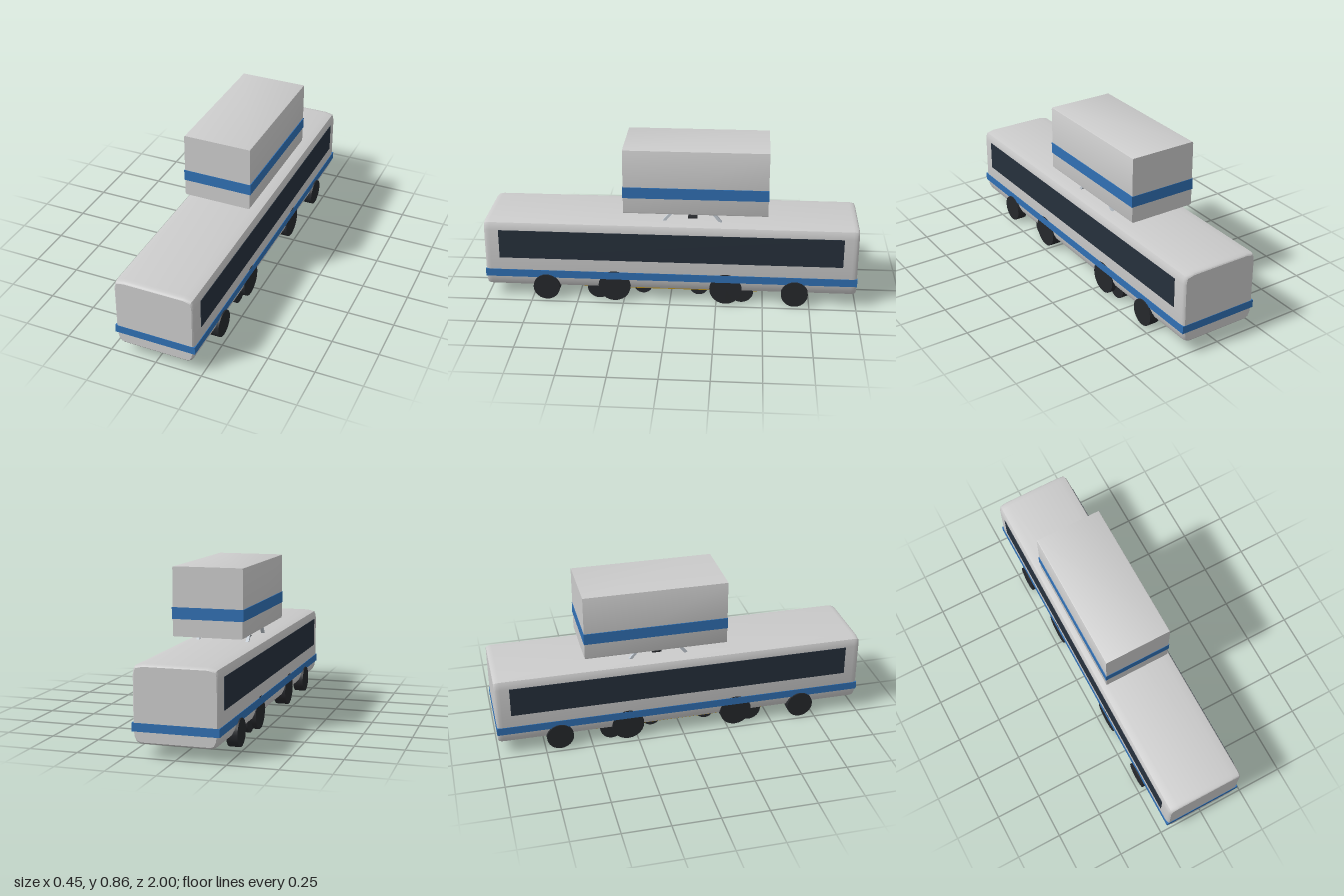
import * as THREE from 'three';
import { toCreasedNormals } from 'three/addons/utils/BufferGeometryUtils.js';

const paint = (color) => new THREE.MeshStandardMaterial({ color });
const grey = paint(0xcccccc);
const blue = paint(0x3070b4);
const glass = paint(0x26303c);
const rubber = paint(0x26282c);
const yellow = paint(0xb8901f);
const steel = paint(0xc4ccd4);

export function createModel() {
  const model = new THREE.Group();

  function add(name, geometry, material, x = 0, y = 0, z = 0) {
    const mesh = new THREE.Mesh(geometry, material);
    mesh.name = name;
    mesh.position.set(x, y, z);
    model.add(mesh);
    return mesh;
  }

  // box given by its limits on each axis
  function box(name, material, [x0, x1], [y0, y1], [z0, z1]) {
    return add(name, new THREE.BoxGeometry(x1 - x0, y1 - y0, z1 - z0), material,
      (x0 + x1) / 2, (y0 + y1) / 2, (z0 + z1) / 2);
  }

  // mirrored cross-section run along z, with eased ends
  function hull(name, half, z0, z1, bevelSize, bevelThickness) {
    const points = [...half, ...half.map(([x, y]) => [-x, y]).reverse()];
    const shape = new THREE.Shape(points.map(([x, y]) => new THREE.Vector2(x, y)));
    const geometry = new THREE.ExtrudeGeometry(shape, {
      depth: z1 - z0 - 2 * bevelThickness,
      bevelEnabled: bevelSize > 0, bevelSize, bevelThickness,
      bevelOffset: -bevelSize, bevelSegments: 3,
    });
    geometry.translate(0, 0, z0 + bevelThickness);
    return add(name, toCreasedNormals(geometry, 0.6), grey);
  }

  // long coach body
  hull('body', [
    [0.175, 0.066], [0.197, 0.076], [0.209, 0.1], [0.215, 0.135],
    [0.215, 0.4], [0.211, 0.425], [0.204, 0.441], [0.16, 0.451],
  ], -0.998, 0.998, 0.011, 0.03);
  box('bodyStripe', blue, [-0.218, 0.218], [0.128, 0.17], [-1, 1]);
  for (const side of [-1, 1]) {
    const window = box('sideWindow', glass, [-0.003, 0.003], [0.24, 0.4], [-0.92, 0.92]);
    window.position.x = side * 0.215;
  }

  // raised cabin above the roof
  hull('upperCabin', [
    [0.177, 0.505], [0.182, 0.507], [0.184, 0.513],
    [0.184, 0.852], [0.182, 0.858], [0.177, 0.86],
  ], -0.516, 0.25, 0, 0);
  box('cabinStripe', blue, [-0.188, 0.188], [0.594, 0.654], [-0.518, 0.252]);

  // roof plate and leaning struts
  box('roofPlate', rubber, [-0.105, 0.105], [0.446, 0.458], [-0.14, -0.09]);
  for (const x of [-0.135, 0.135]) {
    for (const side of [-1, 1]) {
      const strut = add('strut', new THREE.BoxGeometry(0.016, 0.065, 0.014), steel,
        x, 0.469, -0.115 + side * 0.135);
      strut.rotation.x = -side * 0.69;
    }
  }

  // underside plates
  box('underFrame', yellow, [-0.175, 0.175], [0.06, 0.072], [-0.47, 0.47]);
  box('underPlate', grey, [-0.105, 0.105], [0.052, 0.062], [-0.2, 0.2]);

  // wheels: distance along z, radius, inner and outer x
  const wheels = [
    ['outerWheel', 0.67, 0.072, 0.168, 0.225],
    ['mainWheel', 0.3, 0.087, 0.15, 0.2165],
    ['innerWheel', 0.385, 0.065, 0.14, 0.19],
    ['smallWheel', 0.153, 0.051, 0.078, 0.117],
  ];
  for (const [name, z, radius, inner, outer] of wheels) {
    const geometry = new THREE.CylinderGeometry(radius, radius, outer - inner, 24);
    geometry.rotateZ(Math.PI / 2);
    for (const sx of [-1, 1]) {
      for (const sz of [-1, 1]) {
        add(name, geometry, rubber, sx * (inner + outer) / 2, radius + 0.002, sz * z);
      }
    }
  }

  return model;
}
